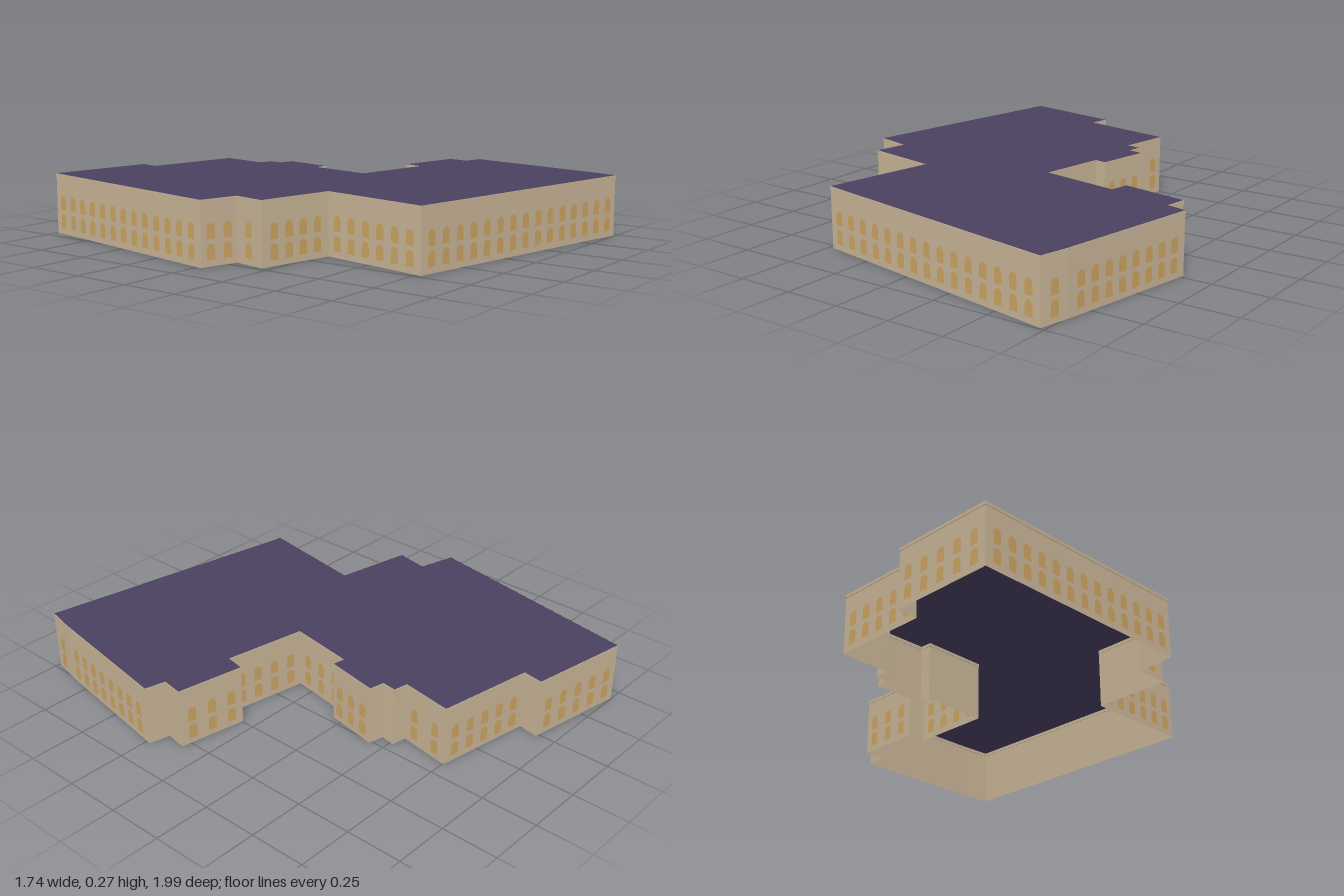
import * as THREE from 'three';
import { mergeGeometries } from 'three/addons/utils/BufferGeometryUtils.js';

const HEIGHT = 0.266;

// Building outline: corner x, z, then the windows per storey on the wall that
// starts there and the margin from the wall's ends to the first window centre.
const OUTLINE = [
  [-0.69, -0.997, 5, 0.055], [-0.235, -0.918, 0, 0], [-0.25, -0.828, 5, 0.055],
  [0.177, -0.754, 2, 0.055], [0.14, -0.527, 0, 0], [0.204, -0.516, 0, 0],
  [0.196, -0.452, 0, 0], [0.262, -0.437, 3, 0.044], [0.22, -0.204, 0, 0],
  [0.167, -0.214, 3, 0.06], [0.119, 0.082, 4, 0.055], [0.479, 0.146, 0, 0],
  [0.495, 0.061, 3, 0.055], [0.791, 0.114, 0, 0], [0.775, 0.209, 0, 0],
  [0.865, 0.23, 8, 0.063], [0.757, 0.865, 1, 0.06], [0.728, 0.992, 15, 0.056],
  [-0.479, 0.775, 6, 0.055], [-0.394, 0.278, 4, 0.061], [-0.733, 0.214, 1, 0.06],
  [-0.706, 0.066, 2, 0.045], [-0.87, 0.024, 13, 0.055],
];

function archShape(width, height) {
  const r = width / 2;
  const s = new THREE.Shape();
  s.moveTo(-r, 0);
  s.lineTo(r, 0);
  s.lineTo(r, height - r);
  s.absarc(0, height - r, r, 0, Math.PI, false);
  s.closePath();
  return s;
}

export function createModel() {
  const group = new THREE.Group();
  const material = (name, color, side) => {
    const m = new THREE.MeshStandardMaterial({ color, side });
    m.name = name;
    return m;
  };
  const stone = material('sandstone', 0xc8b496, THREE.DoubleSide);
  const amber = material('amber glass', 0xcba362, THREE.FrontSide);
  const slate = material('purple slate', 0x4a4060, THREE.DoubleSide);

  const add = (name, geometry, mat) => {
    const mesh = new THREE.Mesh(geometry, mat);
    mesh.name = name;
    group.add(mesh);
  };

  const walls = [], cornice = [], lower = [], upper = [];
  const windowGeometry = new THREE.ShapeGeometry(archShape(0.039, 0.064), 5);

  OUTLINE.forEach(([ax, az, count, margin], i) => {
    const [bx, bz] = OUTLINE[(i + 1) % OUTLINE.length];
    const length = Math.hypot(bx - ax, bz - az);
    // Places a geometry made facing +z onto the outside of this wall
    const toWall = new THREE.Matrix4()
      .makeRotationY(Math.atan2(bz - az, ax - bx))
      .setPosition((ax + bx) / 2, 0, (az + bz) / 2);
    const place = (g, x, y, z) => g.translate(x, y, z).applyMatrix4(toWall);

    walls.push(place(new THREE.PlaneGeometry(length, HEIGHT), 0, HEIGHT / 2, 0));
    cornice.push(place(new THREE.BoxGeometry(length, 0.014, 0.005), 0, HEIGHT - 0.008, 0));

    // Two storeys of evenly spaced arched windows
    for (let k = 0; k < count; k++) {
      const x = count === 1 ? 0 : (k / (count - 1) - 0.5) * (length - 2 * margin);
      lower.push(place(windowGeometry.clone(), x, 0.027, 0.003));
      upper.push(place(windowGeometry.clone(), x, 0.108, 0.003));
    }
  });

  add('walls', mergeGeometries(walls), stone);
  add('cornice', mergeGeometries(cornice), stone);
  add('lowerWindows', mergeGeometries(lower), amber);
  add('upperWindows', mergeGeometries(upper), amber);

  // Flat roof over the whole outline; the underside is open to the ground
  const roofShape = new THREE.Shape(OUTLINE.map(([x, z]) => new THREE.Vector2(x, -z)));
  const roof = new THREE.ShapeGeometry(roofShape);
  roof.rotateX(-Math.PI / 2).translate(0, HEIGHT, 0);
  add('roof', roof, slate);

  return group;
}
